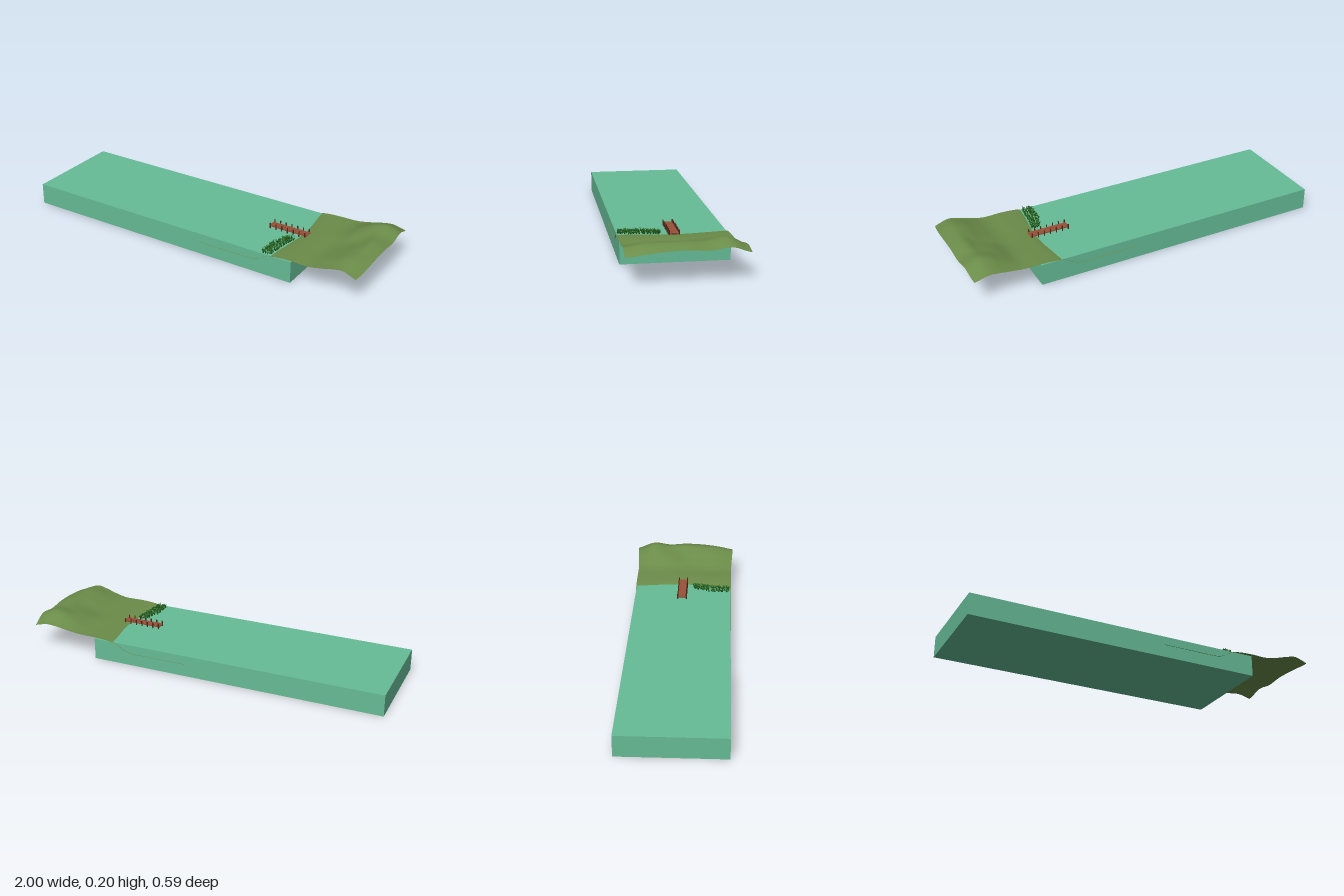
import * as THREE from 'three';
import { mergeGeometries } from 'three/addons/utils/BufferGeometryUtils.js';

const mat = (color, side = THREE.FrontSide) => new THREE.MeshStandardMaterial({ color, side });

function add(parent, name, geometry, material, x = 0, y = 0, z = 0) {
  const mesh = new THREE.Mesh(geometry, material);
  mesh.name = name;
  mesh.position.set(x, y, z);
  parent.add(mesh);
  return mesh;
}

// Smooth interpolation through evenly spaced control values
function spline(values, t) {
  const f = t * (values.length - 1);
  const i = Math.min(Math.floor(f), values.length - 2);
  const w = f - i;
  const a = values[Math.max(i - 1, 0)], b = values[i];
  const c = values[i + 1], d = values[Math.min(i + 2, values.length - 1)];
  return b + 0.5 * w * (c - a + w * (2 * a - 5 * b + 4 * c - d + w * (3 * (b - c) + d - a)));
}

// Each station: x, then heights from the back edge to the front edge
const flat = (x, y) => [x, y, y, y, y, y, y, y];
const stations = [
  flat(0.08, 0.07), flat(0.2, 0.07), flat(0.32, 0.07), flat(0.4, 0.071),
  flat(0.45, 0.084), flat(0.5, 0.109), flat(0.545, 0.122), flat(0.62, 0.128),
  [0.72, 0.130, 0.134, 0.136, 0.131, 0.129, 0.129, 0.127],
  [0.80, 0.142, 0.165, 0.165, 0.150, 0.152, 0.152, 0.142],
  [0.87, 0.155, 0.194, 0.180, 0.172, 0.178, 0.177, 0.160],
  [0.93, 0.160, 0.201, 0.187, 0.191, 0.187, 0.184, 0.168],
  [1.00, 0.144, 0.175, 0.163, 0.170, 0.167, 0.157, 0.143],
];

function terrainGeometry() {
  const geo = new THREE.PlaneGeometry(1, 1, 96, 48);
  const p = geo.attributes.position;
  const columns = stations[0].map((_, k) => stations.map((s) => s[k]));
  for (let i = 0; i < p.count; i++) {
    const u = p.getX(i) + 0.5;
    const v = 0.5 - p.getY(i);
    let x = spline(columns[0], u);
    const y = spline(columns.slice(1).map((c) => spline(c, u)), v);
    // wavy shoreline and slightly bowed far edge
    const shore = Math.exp(-(((x - 0.52) / 0.07) ** 2));
    x += shore * 0.014 * Math.sin(v * 6 - 1.2);
    const far = THREE.MathUtils.smoothstep(x, 0.7, 1);
    x -= far * 0.015 * (2 * v - 1) ** 4;
    const z = (2 * v - 1) * (0.28 + 0.014 * far) + 0.003 * (1 - far);
    p.setXYZ(i, x, y, z);
  }
  geo.computeVertexNormals();
  return geo;
}

// Tufts of narrow leaning blades, growing out of the water along the shore
function reedGeometry() {
  let seed = 7;
  const rand = () => (seed = (seed * 16807) % 2147483647) / 2147483647;
  const positions = [];
  for (let row = 0; row < 15; row++) {
    const t = row / 14;
    for (let col = 0; col < 5; col++) {
      const left = 0.485 - 0.04 * Math.min(1, t * 2);
      const right = 0.53 - 0.026 * t;
      const cx = left + ((right - left) * (col + 0.2 + 0.6 * rand())) / 5;
      const cz = 0.068 + 0.197 * t + (rand() - 0.5) * 0.012;
      for (let k = 0; k < 14; k++) {
        const a = rand() * Math.PI * 2;
        const lean = 0.004 + rand() * 0.008;
        const h = 0.118 + 0.008 + rand() * 0.017 * (0.5 + 0.5 * Math.sin((col + 0.5) / 5 * Math.PI));
        const c = Math.cos(a), s = Math.sin(a), w = 0.0016;
        const mx = cx + c * lean * 0.4, mz = cz + s * lean * 0.4, my = 0.112 + (h - 0.112) * 0.65;
        const base = [[cx - s * w, 0.112, cz + c * w], [cx + s * w, 0.112, cz - c * w]];
        const mid = [[mx - s * w, my, mz + c * w], [mx + s * w, my, mz - c * w]];
        const tip = [cx + c * lean, h, cz + s * lean];
        positions.push(...base[0], ...base[1], ...mid[1], ...base[0], ...mid[1], ...mid[0]);
        positions.push(...mid[0], ...mid[1], ...tip);
      }
    }
  }
  const geo = new THREE.BufferGeometry();
  geo.setAttribute('position', new THREE.Float32BufferAttribute(positions, 3));
  geo.computeVertexNormals();
  return geo;
}

// Jetty: planked deck on stringers, with paired posts
function createJetty() {
  const jetty = new THREE.Group();
  jetty.name = 'jetty';
  const wood = mat(0x9a5238), dark = mat(0x55291c);
  const planks = [];
  for (let i = 0; i < 26; i++) {
    planks.push(new THREE.BoxGeometry(0.0075, 0.003, 0.044).translate(0.358 + i * 0.0085, 0.1325, 0));
  }
  add(jetty, 'deckPlanks', mergeGeometries(planks), wood);
  for (const side of [-1, 1]) {
    add(jetty, 'stringer', new THREE.BoxGeometry(0.22, 0.005, 0.005), wood, 0.465, 0.1285, side * 0.018);
  }
  for (let i = 0; i < 7; i++) {
    const x = 0.36 + i * 0.0343;
    add(jetty, 'crossBeam', new THREE.BoxGeometry(0.005, 0.004, 0.054), dark, x, 0.1275, 0);
    for (const side of [-1, 1]) {
      add(jetty, 'post', new THREE.CylinderGeometry(0.0035, 0.0035, 0.058, 8), dark, x, 0.119, side * 0.0245);
    }
  }
  return jetty;
}

export function createModel() {
  const model = new THREE.Group();
  model.name = 'lakeShore';
  add(model, 'water', new THREE.BoxGeometry(1.625, 0.118, 0.552), mat(0x66bb96), -0.1875, 0.059, 0.003);
  add(model, 'terrain', terrainGeometry(), mat(0x6b8c49, THREE.DoubleSide));
  add(model, 'reeds', reedGeometry(), mat(0x2c6a24, THREE.DoubleSide));
  model.add(createJetty());
  return model;
}
